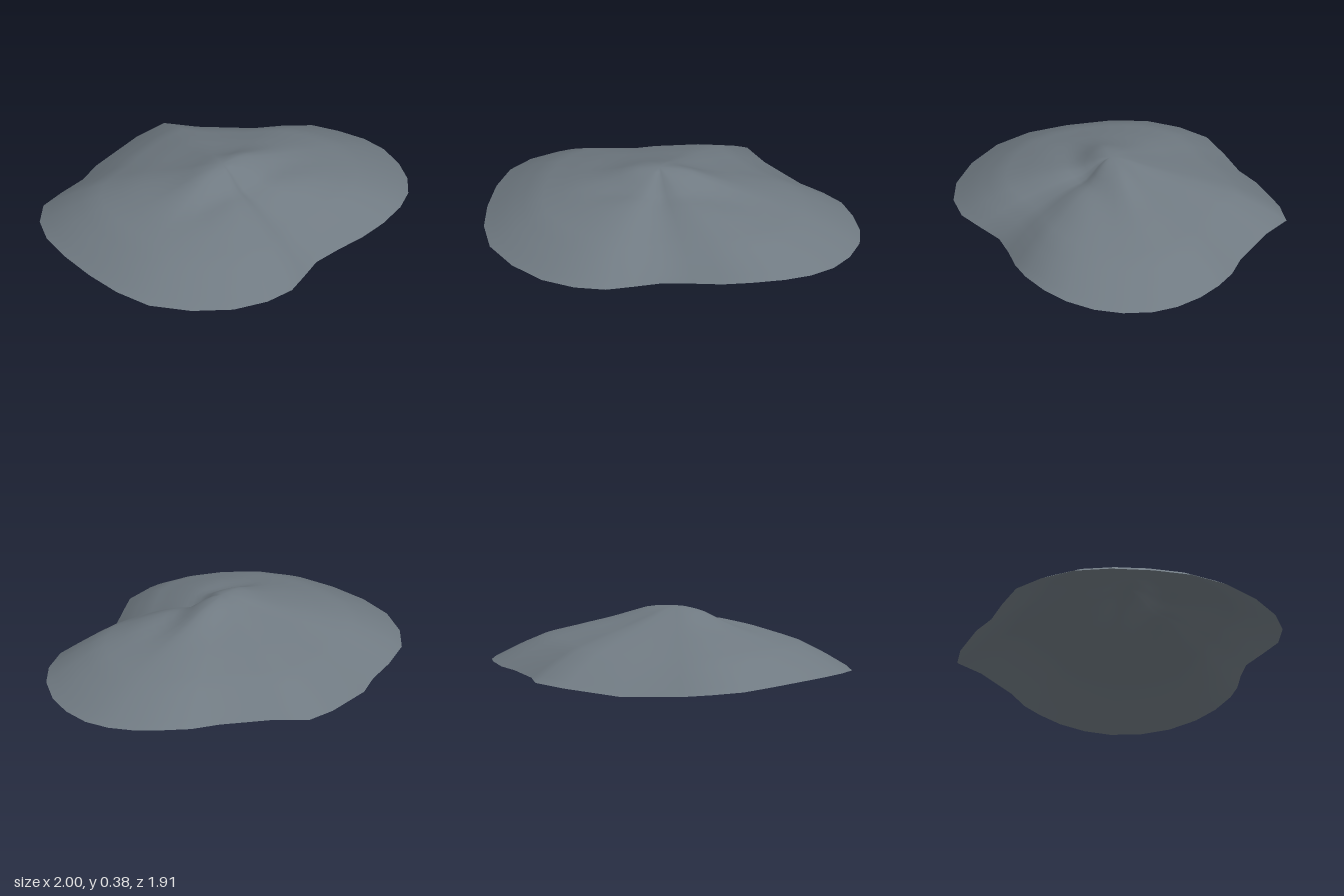
import * as THREE from 'three';

// Rim of the mound, as [x, height, z], running clockwise seen from above
const RIM = [
  [-0.43, 0.04, -0.885], [-0.24, 0.04, -0.87], [0.07, 0.035, -0.9], [0.23, 0.035, -0.945],
  [0.39, 0.04, -0.96], [0.54, 0.03, -0.935], [0.69, 0.025, -0.88], [0.81, 0.022, -0.795],
  [0.91, 0.022, -0.66], [0.975, 0.03, -0.51], [1, 0.045, -0.34], [0.975, 0.055, -0.18],
  [0.9, 0.055, -0.01], [0.8, 0.04, 0.12], [0.68, 0.028, 0.24], [0.57, 0.02, 0.37],
  [0.52, 0.025, 0.53], [0.47, 0.03, 0.68], [0.35, 0.03, 0.81], [0.17, 0.025, 0.905],
  [-0.06, 0.028, 0.95], [-0.3, 0.035, 0.935], [-0.49, 0.05, 0.845], [-0.66, 0.057, 0.705],
  [-0.82, 0.06, 0.535], [-0.94, 0.055, 0.36], [-1, 0.04, 0.18], [-1, 0.03, 0],
  [-0.92, 0.012, -0.165], [-0.82, 0.002, -0.325], [-0.76, 0, -0.48], [-0.57, 0.025, -0.75],
];
// Slope from summit (t = 0) to rim (t = 1), as [t, height above rim]
const SLOPE = [[0, 0.352], [0.1, 0.33], [0.2, 0.3], [0.35, 0.255], [0.5, 0.215], [0.72, 0.148], [0.86, 0.08], [1, 0]];
const RINGS = 18;

const bell = (v, width) => Math.exp(-((v / width) ** 2));

function slopeAt(t) {
  const i = Math.max(1, SLOPE.findIndex(([s]) => s >= t));
  const [a, b] = [SLOPE[i - 1], SLOPE[i]];
  return THREE.MathUtils.mapLinear(t, a[0], b[0], a[1], b[1]);
}

// Summit ridge with a steep hollow on one side, and a gully leading to the rim
function relief(x, z, t) {
  const across = 0.76 * x + 0.65 * z;
  const along = 0.65 * x - 0.76 * z;
  const ridge = 0.028 * bell(across, 0.09) * bell(along, 0.4) * Math.min(1, t * 6);
  const hollow = across > 0 ? -0.035 * bell(across - 0.13, 0.09) * bell(along, 0.42) * Math.min(1, t * 4) : 0;
  const angle = Math.atan2(z, x) - 0.6;
  const gully = -0.03 * bell(angle, 0.28) * Math.sin(Math.PI * t);
  return ridge + hollow + gully;
}

function moundGeometry() {
  const n = RIM.length;
  const positions = [0, 0.385, 0];
  const index = [];
  for (let r = 1; r <= RINGS; r++) {
    const t = r / RINGS;
    for (const [rx, ry, rz] of RIM) {
      const x = rx * t, z = rz * t;
      const base = THREE.MathUtils.lerp(0.033, ry, t * t);
      const detail = relief(x, z, t) * Math.min(1, (1 - t) * 4);
      positions.push(x, Math.min(0.385, base + slopeAt(t) + detail), z);
    }
  }
  for (let i = 0; i < n; i++) {
    const j = (i + 1) % n;
    index.push(0, 1 + j, 1 + i);
    for (let r = 0; r < RINGS - 1; r++) {
      const a = 1 + r * n, b = a + n;
      index.push(a + i, a + j, b + j, a + i, b + j, b + i);
    }
  }
  const geometry = new THREE.BufferGeometry();
  geometry.setAttribute('position', new THREE.Float32BufferAttribute(positions, 3));
  geometry.setIndex(index);
  geometry.computeVertexNormals();
  return geometry;
}

export function createModel() {
  const slate = new THREE.MeshStandardMaterial({ color: 0x707a82, side: THREE.DoubleSide });
  slate.name = 'slate grey';
  const mound = new THREE.Mesh(moundGeometry(), slate);
  mound.name = 'mound';
  const model = new THREE.Group();
  model.name = 'rockMound';
  model.add(mound);
  return model;
}
